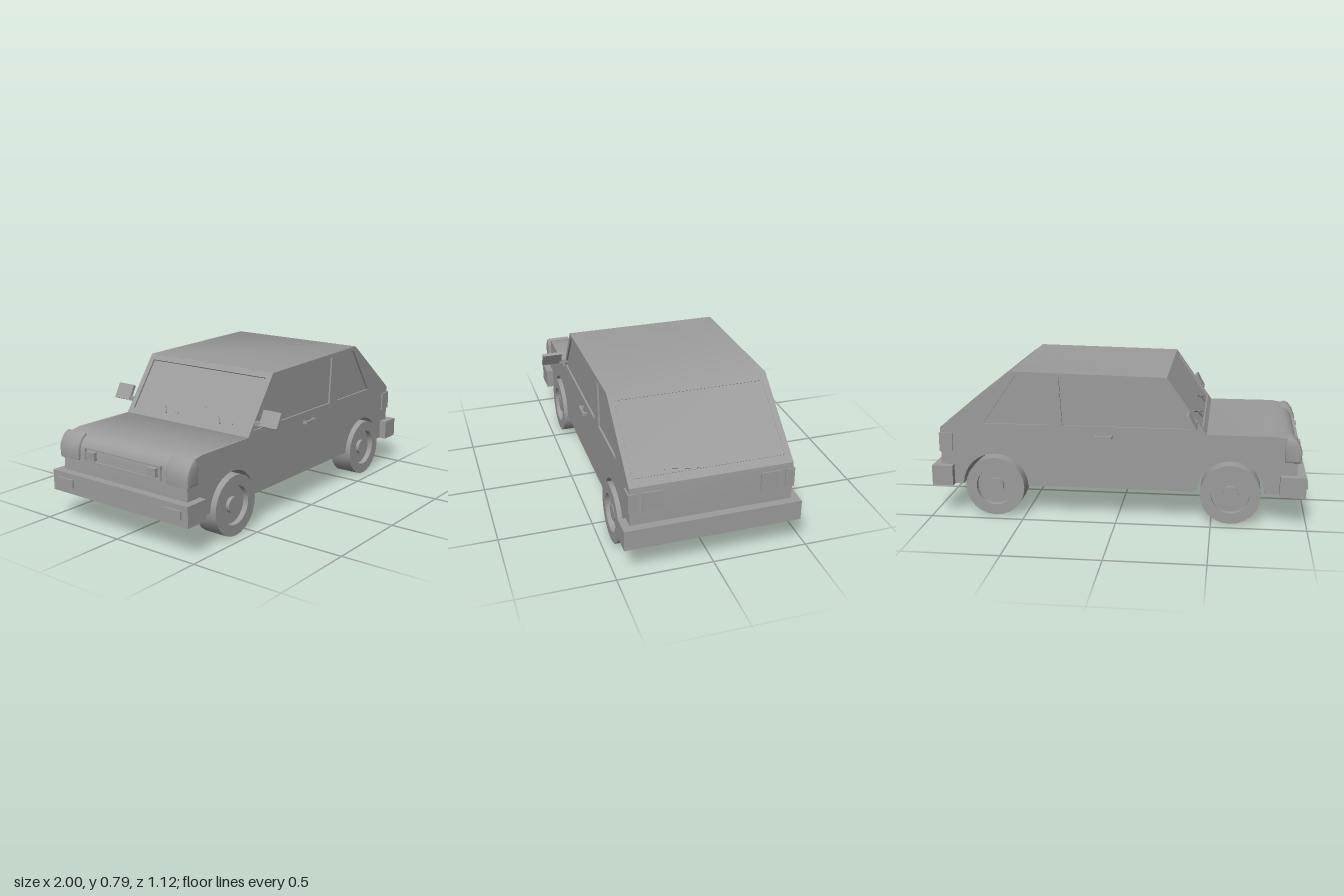
import * as THREE from 'three';
import { toCreasedNormals } from 'three/addons/utils/BufferGeometryUtils.js';

const material = new THREE.MeshStandardMaterial({ color: 0x9c9c9c });
const HALF = 0.42;      // half width of the body
const SKIN = 0.01;      // depth of the window recesses
const WHEELS = [-0.6, 0.66];
const AXLE_Y = 0.16;

function add(parent, name, geometry, x = 0, y = 0, z = 0) {
  const mesh = new THREE.Mesh(geometry, material);
  mesh.name = name;
  mesh.position.set(x, y, z);
  parent.add(mesh);
  return mesh;
}

// Box given by its extents on each axis
function block(parent, name, [x0, x1], [y0, y1], [z0, z1]) {
  return add(parent, name, new THREE.BoxGeometry(x1 - x0, y1 - y0, z1 - z0),
    (x0 + x1) / 2, (y0 + y1) / 2, (z0 + z1) / 2);
}

const polygon = (points) => new THREE.Shape(points.map(([x, y]) => new THREE.Vector2(x, y)));

// Rectangular ring from an outer and an inner rectangle
function ring([w, y0, y1], [v, u0, u1]) {
  const shape = polygon([[-w, y0], [w, y0], [w, y1], [-w, y1]]);
  shape.holes.push(polygon([[-v, u0], [-v, u1], [v, u1], [v, u0]]));
  return shape;
}

// Extrusion whose shallow bends are smooth and whose corners stay sharp
function extrude(shape, depth, options = {}) {
  const geometry = new THREE.ExtrudeGeometry(shape, { depth, bevelEnabled: false, curveSegments: 20, ...options });
  return toCreasedNormals(geometry, 0.75);
}

// Corners of the two sloping screens, bottom then top
const WINDSCREEN = [[-0.47, 0.478], [-0.26, 0.775]];
const REAR_SCREEN = [[0.955, 0.478], [0.56, 0.79]];

// The windscreen's line moved into the body
function sunkWindscreen() {
  const [[ax, ay], [bx, by]] = WINDSCREEN;
  const scale = SKIN / Math.hypot(bx - ax, by - ay);
  return WINDSCREEN.map(([x, y]) => [x + (by - ay) * scale, y - (bx - ax) * scale]);
}

// Side outline of the body with both wheel arches
function bodyShape(recess) {
  const shape = polygon([
    [-0.945, 0.165], [-0.945, 0.39], [-0.938, 0.425], [-0.92, 0.45], [-0.89, 0.468], [-0.83, 0.478],
    WINDSCREEN[0], ...recess, WINDSCREEN[1],
    REAR_SCREEN[1], REAR_SCREEN[0], [0.957, 0.46], [0.957, 0.165],
  ]);
  for (const x of [...WHEELS].reverse()) shape.absarc(x, AXLE_Y, 0.178, 0.03, Math.PI - 0.03, false);
  return shape;
}

// Group lying on a sloping screen: local y runs up the slope, local z points outwards
function slope(parent, name, [[ax, ay], [bx, by]], side) {
  const up = new THREE.Vector3(bx - ax, by - ay, 0).normalize();
  const out = new THREE.Vector3(side * up.y, -side * up.x, 0);
  const across = up.clone().cross(out);
  const group = new THREE.Group();
  group.name = name;
  group.setRotationFromMatrix(new THREE.Matrix4().makeBasis(across, up, out));
  group.position.set(ax, ay, 0);
  parent.add(group);
  return group;
}

// Wiper between two points on a screen, centred at a height above it
function wiper(group, [ax, ay], [bx, by], height) {
  const length = Math.hypot(bx - ax, by - ay);
  const blade = add(group, 'wiperBlade', new THREE.BoxGeometry(length, 0.007, 0.008),
    (ax + bx) / 2, (ay + by) / 2, height);
  blade.rotation.z = Math.atan2(by - ay, bx - ax);
}

function addBody(car) {
  const inner = HALF - SKIN;
  add(car, 'bodyCore', extrude(bodyShape(sunkWindscreen()), 2 * inner), 0, 0, -inner);

  // Side panels with window openings
  const panel = bodyShape([]);
  panel.holes.push(
    polygon([[-0.43, 0.505], [0.292, 0.505], [0.308, 0.764], [-0.245, 0.75]]),
    polygon([[0.372, 0.505], [0.72, 0.505], [0.54, 0.767], [0.362, 0.765]]));
  for (const z of [-HALF, inner]) add(car, 'sidePanel', extrude(panel, SKIN), 0, 0, z);

  // Windscreen surround and wipers
  const windscreen = slope(car, 'windscreen', WINDSCREEN, -1);
  const surround = ring([inner, 0, 0.3637], [0.39, 0.033, 0.331]);
  add(windscreen, 'windscreenFrame', extrude(surround, SKIN), 0, 0, -SKIN);
  for (const x of [0.29, -0.08]) {
    wiper(windscreen, [x, 0.055], [x - 0.22, 0.125], -0.007);
    wiper(windscreen, [x - 0.08, 0.045], [x - 0.11, 0.085], -0.007);
  }

  // Rear window seal and wiper
  const rear = slope(car, 'rearScreen', REAR_SCREEN, 1);
  const seal = ring([0.39, 0.045, 0.46], [0.387, 0.048, 0.457]);
  add(rear, 'rearWindowSeal', extrude(seal, 0.003), 0, 0, -0.001);
  wiper(rear, [-0.23, 0.073], [-0.03, 0.048], -0.001);
}

function addWheel(car, x, side) {
  // Tyre with a recessed rim and a raised hub, turned about its axle
  const profile = [[0, 0], [0.16, 0], [0.16, 0.13], [0.102, 0.13], [0.102, 0.1],
    [0.042, 0.1], [0.042, 0.12], [0, 0.12]].map(([r, h]) => new THREE.Vector2(r, h));
  const wheel = add(car, 'wheel', toCreasedNormals(new THREE.LatheGeometry(profile, 24), 0.5),
    x, AXLE_Y, side * 0.31);
  wheel.rotation.x = side * Math.PI / 2;
}

// Parts repeated on both sides of the car
function addSide(car, s) {
  const span = (a, b) => (s > 0 ? [a, b] : [-b, -a]);
  for (const x of WHEELS) addWheel(car, x, s);

  // Headlamp with rounded edges
  const lamp = polygon([[-0.96, 0.342], [-0.878, 0.342], [-0.872, 0.435], [-0.885, 0.468], [-0.905, 0.477],
    [-0.928, 0.465], [-0.95, 0.435], [-0.964, 0.4]]);
  const rounded = { bevelEnabled: true, bevelSize: 0.012, bevelOffset: -0.012, bevelThickness: 0.015, bevelSegments: 4 };
  add(car, 'headlamp', extrude(lamp, 0.108, rounded), 0, 0, s > 0 ? 0.313 : -0.421);

  // Lamps in the grille, bumper and tail
  block(car, 'grilleLamp', [-0.965, -0.94], [0.36, 0.405], span(0.18, 0.235));
  block(car, 'bumperLamp', [-1, -0.98], [0.2, 0.243], span(0.31, 0.42));
  block(car, 'tailLamp', [0.89, 0.963], [0.345, 0.447], span(0.38, 0.428));
  block(car, 'reversingLamp', [0.95, 0.964], [0.345, 0.447], span(0.25, 0.355));

  // Door handle
  block(car, 'handleGrip', [0.025, 0.118], [0.443, 0.459], span(0.435, 0.446));
  for (const x of [0.025, 0.107]) block(car, 'handlePost', [x, x + 0.011], [0.443, 0.459], span(0.415, 0.436));

  // Door mirror leaning with the windscreen
  block(car, 'mirrorArm', [-0.42, -0.4], [0.53, 0.552], span(0.41, 0.46));
  const mirror = polygon([[-0.425, 0.535], [-0.41, 0.528], [-0.368, 0.602], [-0.383, 0.612]]);
  add(car, 'mirror', extrude(mirror, 0.11), 0, 0, s > 0 ? 0.45 : -0.56);
}

export function createModel() {
  const car = new THREE.Group();
  car.name = 'car';
  addBody(car);
  for (const s of [-1, 1]) addSide(car, s);

  // Bumpers
  block(car, 'frontBumper', [-0.99, -0.855], [0.163, 0.272], [-0.46, 0.46]);
  block(car, 'rearBumper', [0.887, 1], [0.163, 0.272], [-0.46, 0.46]);

  // Grille surround
  for (const y of [0.345, 0.412]) block(car, 'grilleRail', [-0.954, -0.93], [y, y + 0.008], [-0.26, 0.26]);
  for (const z of [-0.26, 0.252]) block(car, 'grilleEnd', [-0.954, -0.93], [0.353, 0.412], [z, z + 0.008]);
  return car;
}
